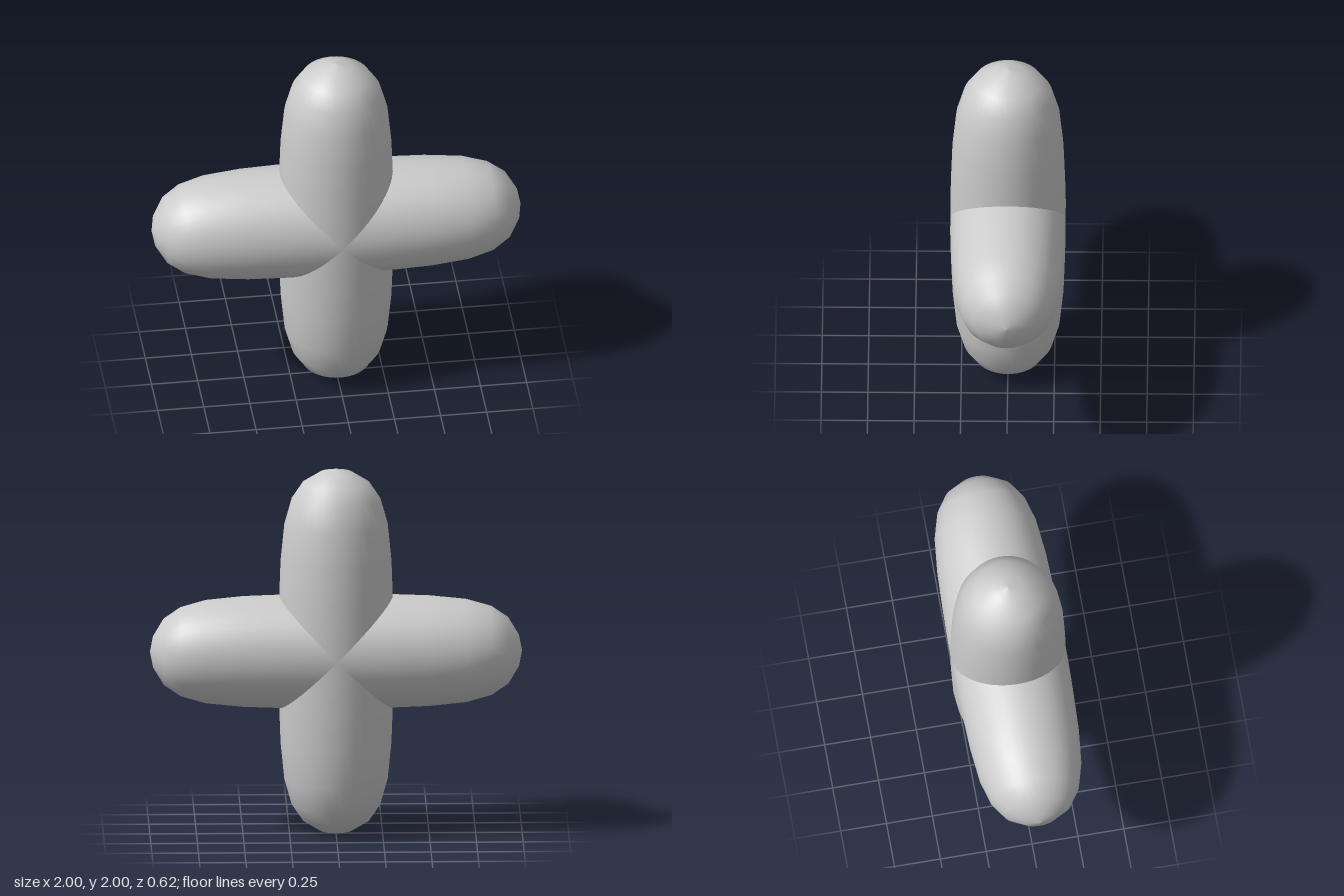
import * as THREE from 'three';

// Half profile of one rounded lobe, from the middle out to the tip: [radius, distance]
const HALF = [
  [0.31, 0], [0.309, 0.15], [0.305, 0.305], [0.298, 0.5], [0.278, 0.7],
  [0.24, 0.835], [0.18, 0.925], [0.085, 0.983], [0, 1],
];

export function createModel() {
  const group = new THREE.Group();
  group.name = 'crossedLobes';
  const material = new THREE.MeshStandardMaterial({ color: 0xcccccc });

  // Mirror the half profile and turn it into a blunt, capsule-like spindle
  const lower = HALF.slice(1).reverse().map(([r, d]) => new THREE.Vector2(r, -d));
  const upper = HALF.map(([r, d]) => new THREE.Vector2(r, d));
  const geometry = new THREE.LatheGeometry([...lower, ...upper], 40);

  // Two identical spindles crossing at right angles
  const addSpindle = (name, tilt) => {
    const mesh = new THREE.Mesh(geometry, material);
    mesh.name = name;
    mesh.position.y = 1;
    mesh.rotation.z = tilt;
    group.add(mesh);
  };
  addSpindle('verticalLobe', 0);
  addSpindle('horizontalLobe', Math.PI / 2);
  return group;
}
